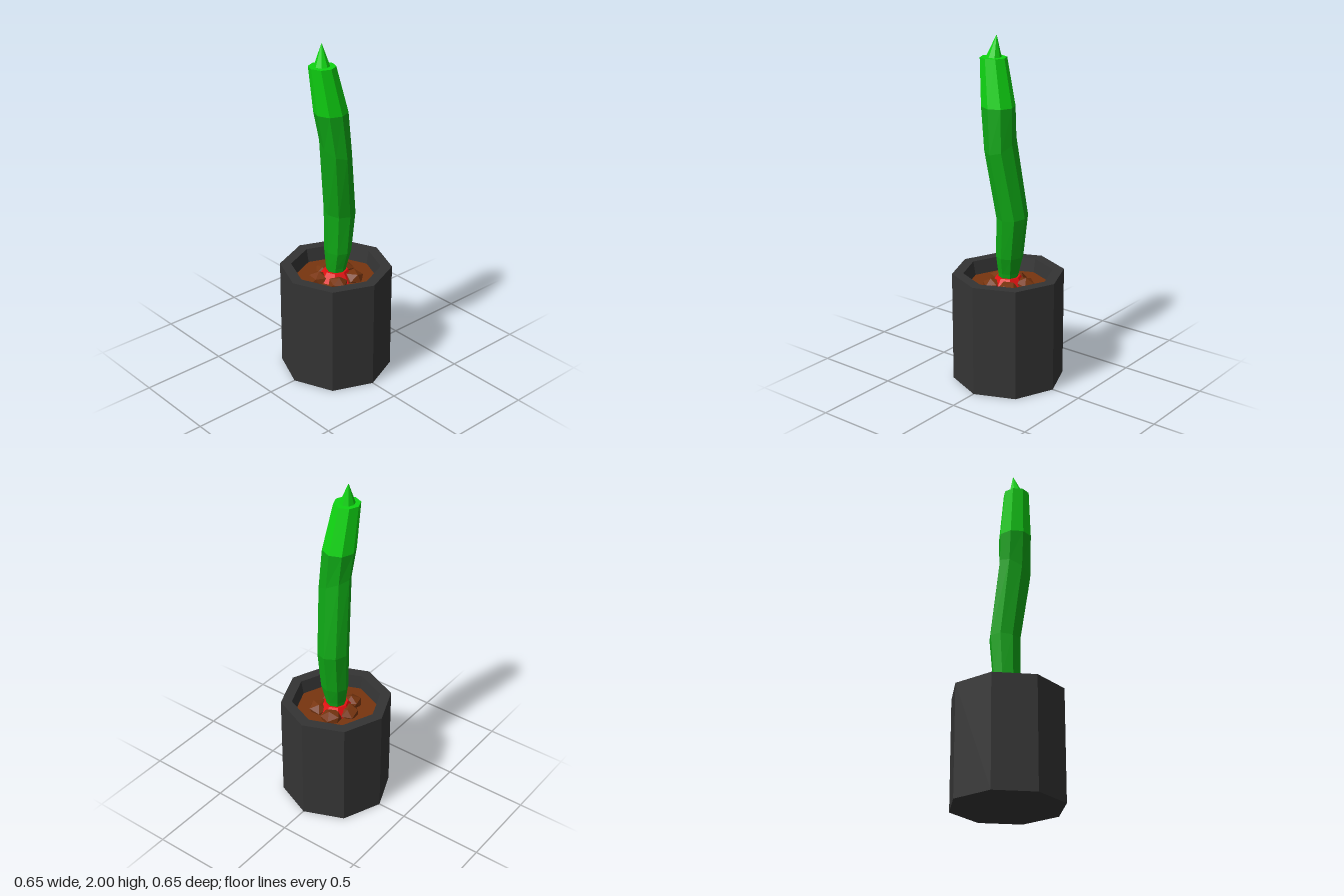
import * as THREE from 'three';

const paint = (name, color) => {
  const m = new THREE.MeshStandardMaterial({ color });
  m.name = name;
  return m;
};

// Facet a geometry so each face is flat
function facet(geometry) {
  const g = geometry.index ? geometry.toNonIndexed() : geometry;
  g.computeVertexNormals();
  return g;
}

// Eight-sided loft through rings { y, x, z, rx, rz, tilt }, with a flat or pointed end
function loft(rings, sides = 8) {
  const pos = [];
  const index = [];
  for (const { y, x, z, rx, rz, tilt = 0 } of rings) {
    for (let i = 0; i < sides; i++) {
      const a = (i / sides) * Math.PI * 2;
      const dz = Math.cos(a) * rz;
      pos.push(x + Math.sin(a) * rx, y - tilt * dz, z + dz);
    }
  }
  for (let r = 0; r < rings.length - 1; r++) {
    for (let i = 0; i < sides; i++) {
      const a = r * sides + i;
      const b = r * sides + ((i + 1) % sides);
      index.push(a, b, b + sides, a, b + sides, a + sides);
    }
  }
  // End cap
  const last = rings[rings.length - 1];
  const first = (rings.length - 1) * sides;
  pos.push(last.x, last.y, last.z);
  for (let i = 0; i < sides; i++) {
    index.push(first + i, first + ((i + 1) % sides), rings.length * sides);
  }
  const g = new THREE.BufferGeometry();
  g.setAttribute('position', new THREE.Float32BufferAttribute(pos, 3));
  g.setIndex(index);
  return facet(g);
}

export function createModel() {
  const model = new THREE.Group();
  const charcoal = paint('charcoal', 0x343434);
  const earth = paint('earth brown', 0x78350f);
  const green = paint('stem green', 0x0fa615);
  const lime = paint('bright green', 0x0fd412);
  const red = paint('red', 0xe01010);

  const add = (name, geometry, material, parent = model) => {
    const mesh = new THREE.Mesh(geometry, material);
    mesh.name = name;
    parent.add(mesh);
    return mesh;
  };

  // Octagonal pot with a thick rim and a tapering inner wall
  const profile = [[0, 0], [0.323, 0], [0.323, 0.65], [0.259, 0.65], [0.242, 0.565]]
    .map(([r, y]) => new THREE.Vector2(r, y));
  add('pot', facet(new THREE.LatheGeometry(profile, 8)), charcoal);

  // Soil surface
  const soil = new THREE.CylinderGeometry(0.243, 0.243, 0.02, 8);
  add('soil', facet(soil), earth).position.y = 0.56;

  // Clods of earth around the stem: angle, distance, radius
  const clods = new THREE.Group();
  clods.name = 'clods';
  model.add(clods);
  [[-95, 0.085, 0.064], [-20, 0.095, 0.066], [52, 0.1, 0.064], [125, 0.095, 0.06], [204, 0.105, 0.062]]
    .forEach(([deg, d, r], i) => {
      const a = THREE.MathUtils.degToRad(deg);
      const g = new THREE.IcosahedronGeometry(r, 0);
      g.rotateX(i * 1.3).rotateY(i * 0.9 + 0.4).scale(1, 0.75, 1);
      const clod = add('clod', facet(g), earth, clods);
      clod.position.set(Math.cos(a) * d, 0.578, Math.sin(a) * d);
    });

  // Red collar at the foot of the stem
  const collar = new THREE.CylinderGeometry(0.07, 0.108, 0.055, 8);
  add('collar', facet(collar), red).position.y = 0.598;

  // Bent stem and its bright upper section
  const neck = { y: 1.615, x: -0.054, z: 0.02, rx: 0.096, rz: 0.095 };
  add('stem', loft([
    { y: 0.57, x: 0, z: 0, rx: 0.05, rz: 0.05 },
    { y: 0.65, x: 0.003, z: 0, rx: 0.06, rz: 0.06 },
    { y: 0.75, x: 0.012, z: 0.002, rx: 0.075, rz: 0.082 },
    { y: 0.99, x: 0.028, z: 0, rx: 0.089, rz: 0.091, tilt: 0.1 },
    { y: 1.41, x: -0.031, z: 0.032, rx: 0.083, rz: 0.098, tilt: 0.5 },
    neck,
  ]), green);
  add('upperStem', loft([
    neck,
    { y: 1.88, x: -0.1, z: 0.003, rx: 0.076, rz: 0.075 },
  ]), lime);

  // Leaning spike on top
  add('spike', loft([
    { y: 1.88, x: -0.1, z: 0.002, rx: 0.044, rz: 0.044 },
    { y: 2.0, x: -0.09, z: -0.012, rx: 0.001, rz: 0.001 },
  ]), lime);

  return model;
}
